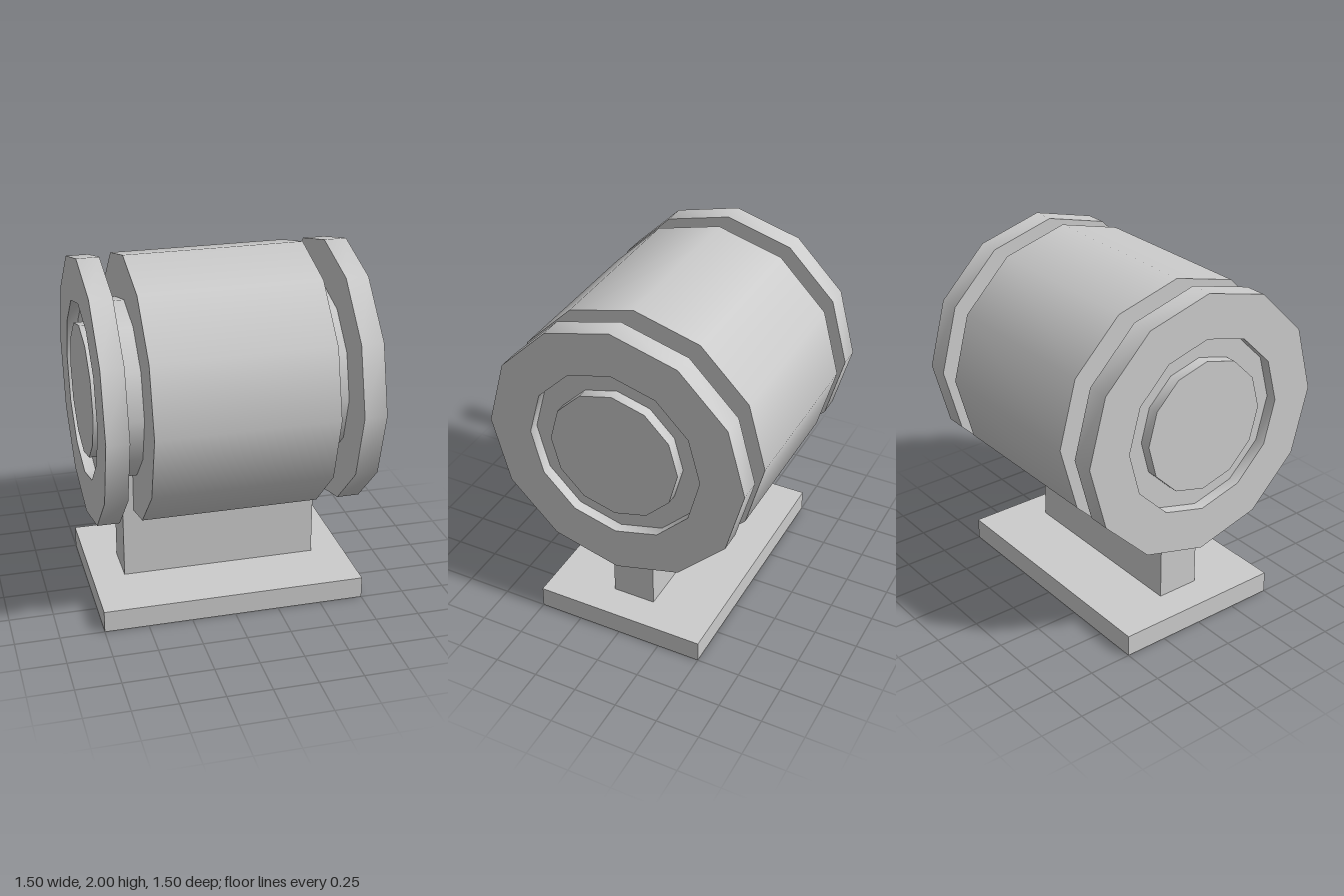
import * as THREE from 'three';
import { toCreasedNormals } from 'three/addons/utils/BufferGeometryUtils.js';

const SIDES = 12;
const AXIS_Y = 1.25;

export function createModel() {
  const model = new THREE.Group();
  model.name = 'drumOnStand';
  const material = new THREE.MeshStandardMaterial({ color: 0xcccccc });

  function add(name, geometry, y, parent = model) {
    const mesh = new THREE.Mesh(geometry, material);
    mesh.name = name;
    mesh.position.y = y;
    parent.add(mesh);
    return mesh;
  }

  // Twelve-sided cylinder lying along x
  const barrel = (radius, length) =>
    new THREE.CylinderGeometry(radius, radius, length, SIDES).rotateZ(-Math.PI / 2);

  // Stand: base plate and upright running into the drum
  add('basePlate', new THREE.BoxGeometry(1.5, 0.125, 1), 0.0625);
  add('pedestal', new THREE.BoxGeometry(1.125, 0.875, 0.25), 0.5625);

  // Main drum and the narrower core seen in the grooves
  add('drum', barrel(0.75, 1), AXIS_Y);
  add('core', barrel(0.5, 1.25), AXIS_Y);

  // End flanges: outer rim, sunken ring and a central boss flush with the rim
  const profile = [
    [0.45, 0.625], [0.75, 0.625], [0.75, 0.75], [0.5, 0.75],
    [0.5, 0.6875], [0.375, 0.6875], [0.375, 0.75], [0, 0.75],
  ].map(([r, h]) => new THREE.Vector2(r, h));
  const flange = toCreasedNormals(
    new THREE.LatheGeometry(profile, SIDES).rotateZ(-Math.PI / 2), 0.8);
  add('leftFlange', flange, AXIS_Y);
  add('rightFlange', flange, AXIS_Y).rotation.y = Math.PI;

  return model;
}
